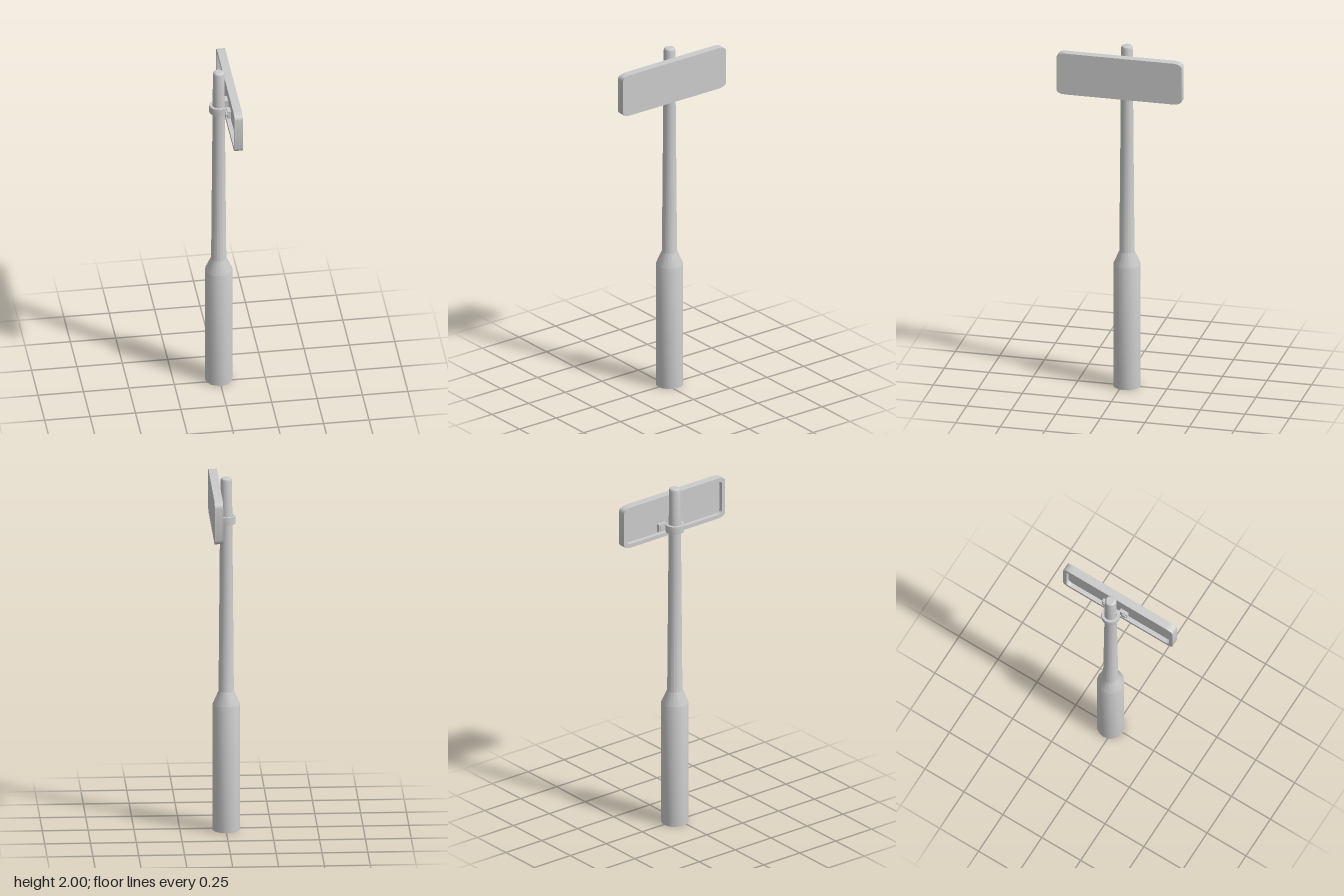
import * as THREE from 'three';
import { toCreasedNormals } from 'three/addons/utils/BufferGeometryUtils.js';

const grey = new THREE.MeshStandardMaterial({ color: 0xcccccc });
const greyOpen = new THREE.MeshStandardMaterial({ color: 0xcccccc, side: THREE.DoubleSide });
const poleX = -0.002, poleZ = -0.025;

function addMesh(parent, name, geometry, material = grey) {
  const mesh = new THREE.Mesh(geometry, material);
  mesh.name = name;
  parent.add(mesh);
  return mesh;
}

// Rectangle with softly rounded corners, centred on the origin
function roundedRect(Type, w, h, cx, cy) {
  const s = new Type(), x = w / 2, y = h / 2;
  s.moveTo(-x + cx, -y);
  s.lineTo(x - cx, -y);
  s.quadraticCurveTo(x, -y, x, -y + cy);
  s.lineTo(x, y - cy);
  s.quadraticCurveTo(x, y, x - cx, y);
  s.lineTo(-x + cx, y);
  s.quadraticCurveTo(-x, y, -x, y - cy);
  s.lineTo(-x, -y + cy);
  s.quadraticCurveTo(-x, -y, -x + cx, -y);
  return s;
}

// Hollow pole, open at the foot, with a bevelled top
function buildPole(group) {
  const profile = [
    [0.075, 0], [0.075, 0.715], [0.042, 0.79], [0.034, 1.72],
    [0.032, 1.985], [0.029, 1.995], [0.021, 2], [0, 2],
  ].map(([r, y]) => new THREE.Vector2(r, y));
  const geometry = toCreasedNormals(new THREE.LatheGeometry(profile, 16), 0.42);
  addMesh(group, 'pole', geometry, greyOpen).position.set(poleX, 0, poleZ);
}

// Shallow tray: flat face towards +x, raised rim around the back
function buildSign(group) {
  const sign = new THREE.Group();
  sign.name = 'sign';
  sign.position.set(0.077, 1.829, 0);
  sign.rotation.y = -Math.PI / 2;
  group.add(sign);
  const width = 0.704, height = 0.24, face = 0.022, rimDepth = 0.024, rim = 0.022;
  const extrude = (shape, depth) =>
    toCreasedNormals(new THREE.ExtrudeGeometry(shape, { depth, bevelEnabled: false, curveSegments: 4 }), 0.6);
  addMesh(sign, 'signFace', extrude(roundedRect(THREE.Shape, width, height, 0.05, 0.03), face));
  const frame = roundedRect(THREE.Shape, width, height, 0.05, 0.03);
  frame.holes.push(roundedRect(THREE.Path, width - 2 * rim, height - 2 * rim, 0.035, 0.02));
  addMesh(sign, 'signRim', extrude(frame, rimDepth)).position.z = face;
}

// Strap around the pole with two flanges bolted to the back of the sign
function buildClamp(group) {
  const clamp = new THREE.Group();
  clamp.name = 'clamp';
  clamp.position.set(poleX, 1.785, poleZ);
  group.add(clamp);
  const points = [];
  const arc = (r, from, to) => {
    for (let i = 0; i <= 8; i++) {
      const a = THREE.MathUtils.degToRad(from + (to - from) * i / 8);
      points.push(new THREE.Vector2(r * Math.cos(a), r * Math.sin(a)));
    }
  };
  const add = (x, z) => points.push(new THREE.Vector2(x, z));
  const back = 0.058, flange = 0.037, reach = 0.08;
  add(back, reach);
  add(flange, reach);
  add(flange, 0.037);
  arc(0.052, 55, 305);
  add(flange, -0.037);
  add(flange, -reach);
  add(back, -reach);
  add(back, -0.03);
  arc(0.037, 300, 60);
  add(back, 0.03);
  const strap = new THREE.ExtrudeGeometry(new THREE.Shape(points), { depth: 0.044, bevelEnabled: false });
  strap.rotateX(Math.PI / 2);
  addMesh(clamp, 'strap', toCreasedNormals(strap, 0.6));
  for (const side of [-1, 1]) {
    const bolt = new THREE.CylinderGeometry(0.016, 0.016, 0.01, 6).rotateZ(Math.PI / 2);
    addMesh(clamp, 'bolt', toCreasedNormals(bolt, 0.5)).position.set(0.035, -0.022, side * 0.061);
  }
}

export function createModel() {
  const group = new THREE.Group();
  group.name = 'signPost';
  buildPole(group);
  buildSign(group);
  buildClamp(group);
  return group;
}
